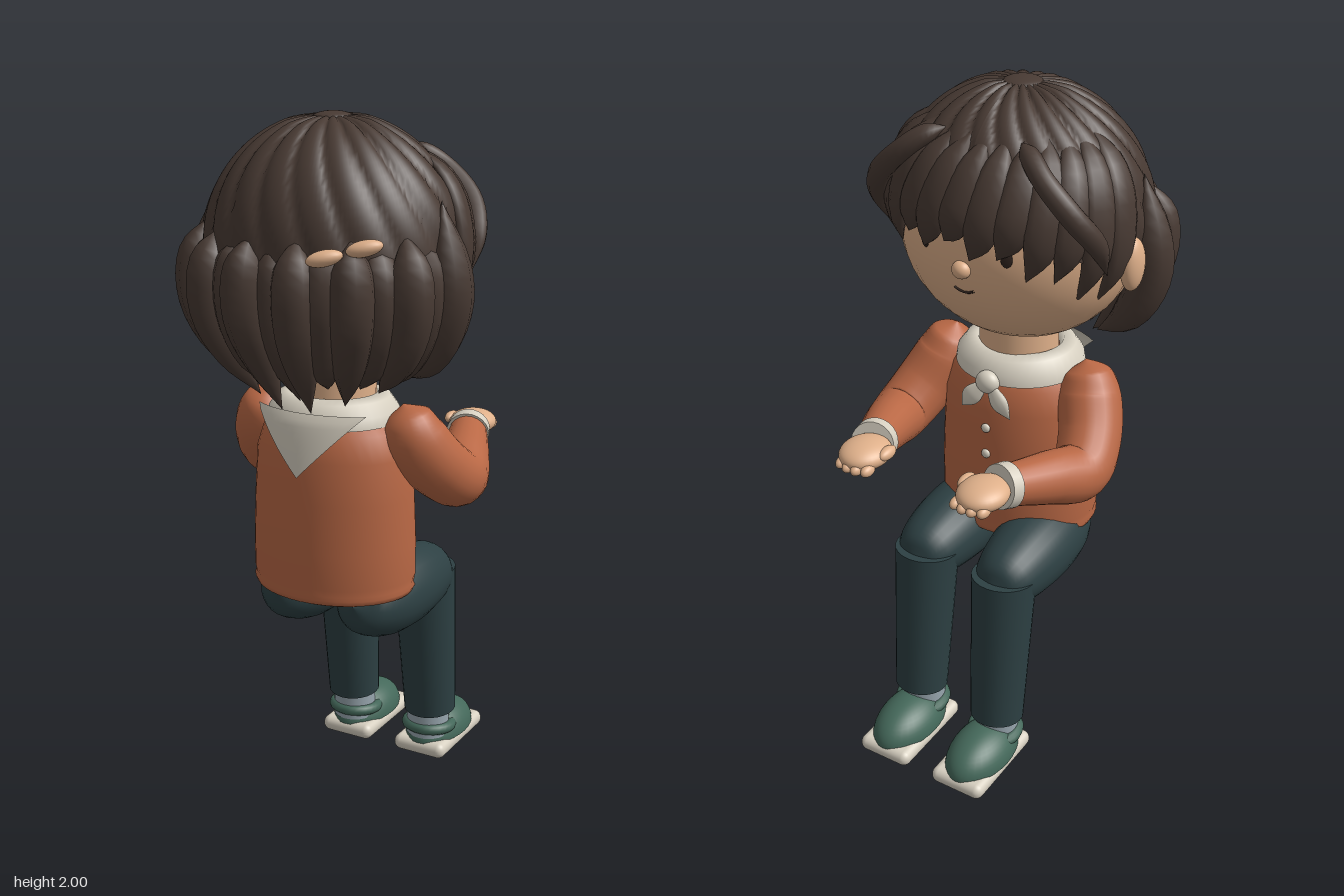
import * as THREE from 'three';
import { RoundedBoxGeometry } from 'three/addons/geometries/RoundedBoxGeometry.js';

const V = (x, y, z) => new THREE.Vector3(x, y, z);
const paint = (name, color, side = THREE.FrontSide) => {
  const m = new THREE.MeshStandardMaterial({ color, side });
  m.name = name;
  return m;
};

// Tapered tube: pts are [x, y, z, radius]; flat squeezes it along ref
function limb(pts, { flat = 1, ref = V(0, 1, 0.01), segs = 24, sides = 16 } = {}) {
  const path = new THREE.CatmullRomCurve3(pts.map(p => V(p[0], p[1], p[2])));
  const radii = new THREE.CatmullRomCurve3(pts.map((p, i) => V(p[3], i * 0.1, 0)));
  const pos = [], idx = [];
  for (let i = 0; i <= segs; i++) {
    const c = path.getPoint(i / segs), t = path.getTangent(i / segs);
    const r = Math.max(0, radii.getPoint(i / segs).x);
    const n = ref.clone().addScaledVector(t, -ref.dot(t)).normalize();
    const b = t.clone().cross(n);
    for (let j = 0; j < sides; j++) {
      const a = j / sides * Math.PI * 2;
      const p = c.clone().addScaledVector(n, r * flat * Math.cos(a)).addScaledVector(b, r * Math.sin(a));
      pos.push(p.x, p.y, p.z);
      if (i < segs) {
        const k = i * sides + j, l = i * sides + (j + 1) % sides;
        idx.push(k, l, k + sides, l, l + sides, k + sides);
      }
    }
  }
  const g = new THREE.BufferGeometry();
  g.setAttribute('position', new THREE.Float32BufferAttribute(pos, 3));
  g.setIndex(idx);
  g.computeVertexNormals();
  return g;
}

// Straight round rod between two points
function rod(a, b, ra, rb) {
  const d = b.clone().sub(a);
  const g = new THREE.CylinderGeometry(rb, ra, d.length(), 24);
  g.applyQuaternion(new THREE.Quaternion().setFromUnitVectors(V(0, 1, 0), d.clone().normalize()));
  return g.translate((a.x + b.x) / 2, (a.y + b.y) / 2, (a.z + b.z) / 2);
}

const ball = (x, y, z, rx, ry = rx, rz = rx) =>
  new THREE.SphereGeometry(1, 32, 24).scale(rx, ry, rz).translate(x, y, z);

export function createModel() {
  const root = new THREE.Group();
  root.name = 'seatedFigure';
  const skin = paint('skin', 0xdfb08a), hair = paint('hair', 0x483a33);
  const sweater = paint('sweater', 0xb96845), trousers = paint('trousers', 0x2d4043);
  const cream = paint('cream', 0xd6cfc0, THREE.DoubleSide), shoe = paint('shoe', 0x44685a);
  const sock = paint('sock', 0x98a6ae), ink = paint('ink', 0x30241f, THREE.DoubleSide);
  const add = (name, g, m) => {
    const mesh = new THREE.Mesh(g, m);
    mesh.name = name;
    root.add(mesh);
    return mesh;
  };

  // Head and face, looking along -z
  add('head', ball(0, 1.6, 0.1, 0.345, 0.32, 0.295), skin);
  add('neck', new THREE.CylinderGeometry(0.112, 0.115, 0.2, 28).translate(0, 1.26, 0.1), skin);
  add('nose', ball(0, 1.57, -0.194, 0.027, 0.025, 0.024), skin);
  const faceZ = (x, y) => 0.1 - 0.295 * Math.sqrt(1 - (x / 0.345) ** 2 - ((y - 1.6) / 0.32) ** 2);
  for (const s of [-1, 1]) {
    add('ear', ball(s * 0.362, 1.57, 0.068, 0.03, 0.075, 0.045), skin);
    const eye = add('eye', new THREE.SphereGeometry(1, 16, 12).scale(0.016, 0.023, 0.004), ink);
    eye.position.set(s * 0.125, 1.62, faceZ(0.125, 1.62));
    eye.rotation.y = -s * 0.35;
    const brow = [0.1, 0.125, 0.15].map((x, i) => [s * x, 1.675 + (i === 1 ? 0.008 : 0), faceZ(x, 1.675), 0.004]);
    add('eyebrow', limb(brow, { segs: 8, sides: 6 }), ink);
  }
  const smile = [-0.03, -0.015, 0, 0.015, 0.03].map(x => {
    const y = 1.5 + x * x * 10;
    return [x, y, faceZ(x, y), 0.0035];
  });
  add('mouth', limb(smile, { segs: 12, sides: 6 }), ink);

  // Hair cap: swirled ridges around the crown, longer at the back than over the face
  const onHair = (a, p, lift = 1) => V(0.37 * lift * Math.sin(a) * Math.sin(p),
    1.63 + 0.37 * lift * Math.cos(p), 0.11 - 0.33 * lift * Math.cos(a) * Math.sin(p));
  const cap = new THREE.PlaneGeometry(1, 1, 200, 36), cp = cap.attributes.position;
  for (let i = 0; i < cp.count; i++) {
    const a = -(cp.getX(i) + 0.5) * Math.PI * 2, v = 0.5 - cp.getY(i);
    const edge = 1.9 - 0.5 * Math.cos(a);
    const ridge = Math.sqrt(Math.abs(Math.sin(10 * (a + 0.75 * v * v))));
    const q = onHair(a, v * edge, 0.965 + 0.04 * ridge * Math.min(1, v * 6));
    cp.setXYZ(i, q.x, q.y, q.z);
  }
  cap.computeVertexNormals();
  const capMat = hair;
  capMat.side = THREE.DoubleSide;
  add('hairCap', cap, capMat);
  add('hairCrown', ball(0, 1.983, 0.11, 0.055, 0.017, 0.055), hair);

  // Fringe, sweeping down to the temples
  for (let i = -6; i <= 6; i++) {
    const a = i * 0.22, end = 1.46 + 0.56 * (i / 6) ** 2 + (i % 2 ? 0.09 : 0);
    const at = (da, p, lift, r) => [...onHair(a + da, p, lift).toArray(), r];
    add('fringeLock', limb([at(-0.12, 0.65, 0.97, 0), at(-0.06, 0.95, 1, 0.04), at(0, 1.25, 1, 0.052),
      at(0.05, (1.25 + end) / 2 + 0.05, 0.985, 0.042), at(0.14, end + 0.08, 0.95, 0)],
      { flat: 0.5, ref: V(Math.sin(a), 0, -Math.cos(a)), segs: 14, sides: 10 }), hair);
  }

  // Hanging locks round the back: an outer row with a second row in the gaps
  const hang = (name, x, z, k, top, tip) => {
    const at = (f, y, r) => [x * f * k, y, 0.11 + (z - 0.11) * f * k, r];
    add(name, limb([at(0.9, top, 0), at(0.98, 1.63, 0.054), at(0.98, 1.5, 0.06), at(0.82, 1.37, 0.045), at(0.6, tip, 0)],
      { ref: V(x, 0, z - 0.11).normalize(), segs: 16, sides: 8 }), hair);
  };
  const rear = [[0.38, 0.155, 1.79, 1.31], [0.33, 0.285, 1.72, 1.28], [0.22, 0.39, 1.71, 1.25], [0.075, 0.44, 1.71, 1.225]];
  for (const s of [-1, 1]) {
    rear.forEach(([x, z, top, tip]) => hang('backLock', s * x, z, 1, top, tip));
    for (const [x, z] of [[0.365, 0.22], [0.285, 0.345], [0.15, 0.425]])
      hang('innerLock', s * x, z, 0.9, 1.7, 1.29);
    // Loose strand arching off each temple
    add('looseStrand', limb([[s * 0.11, 1.9, -0.08, 0], [s * 0.15, 1.885, -0.11, 0.026], [s * 0.21, 1.84, -0.14, 0.03],
      [s * 0.29, 1.76, -0.135, 0.032], [s * 0.335, 1.67, -0.08, 0.028], [s * 0.34, 1.57, -0.03, 0]],
      { ref: V(s, 0, -1).normalize(), sides: 10 }), hair);
  }
  hang('innerLock', 0, 0.44, 0.9, 1.7, 1.25);

  // Hair clip of two small beads
  for (const [x, y, z] of [[0.165, 1.668, 0.437], [0.25, 1.692, 0.385]]) {
    const bead = add('hairClip', new THREE.SphereGeometry(1, 16, 12).scale(0.048, 0.021, 0.025), skin);
    bead.position.set(x, y, z);
    bead.rotation.set(0, 0.55, 0.2);
  }

  // Sweater body
  const body = [[0, 0.665], [0.21, 0.665], [0.236, 0.675], [0.243, 0.69], [0.237, 0.7], [0.242, 0.72], [0.242, 0.82],
    [0.236, 0.96], [0.228, 1.08], [0.205, 1.15], [0.165, 1.2], [0.1, 1.22], [0, 1.22]];
  add('sweaterBody', new THREE.LatheGeometry(body.map(p => new THREE.Vector2(...p)), 40)
    .scale(1, 1, 0.81).translate(0, 0, 0.11), sweater);
  for (const y of [1.03, 0.945]) add('button', ball(0, y, -0.082, 0.014, 0.014, 0.009), cream);

  // Neckerchief: collar ring, point at the back, knot and tails at the chest
  const collar = [[0.112, 1.22], [0.125, 1.245], [0.16, 1.235], [0.185, 1.2], [0.19, 1.17]];
  add('collar', new THREE.LatheGeometry(collar.map(p => new THREE.Vector2(...p)), 40)
    .scale(1, 1, 0.94).translate(0, 0, 0.11), cream);
  const drape = new THREE.PlaneGeometry(2, 1, 12, 10), dp = drape.attributes.position;
  for (let i = 0; i < dp.count; i++) {
    const v = 0.5 - dp.getY(i), x = dp.getX(i) * (1 - v) * 0.17;
    dp.setXYZ(i, x, 1.215 - 0.175 * v, 0.11 + (0.172 + 0.033 * Math.sqrt(v)) * Math.sqrt(1 - (x / 0.24) ** 2));
  }
  drape.computeVertexNormals();
  add('scarfPoint', drape, cream);
  add('scarfKnot', ball(0, 1.175, -0.07, 0.036, 0.034, 0.028), cream);

  for (const s of [-1, 1]) {
    add('scarfTail', limb([[0, 1.18, -0.07, 0], [s * 0.025, 1.15, -0.078, 0.022], [s * 0.05, 1.12, -0.083, 0.028],
      [s * 0.08, 1.08, -0.08, 0]], { flat: 0.45, ref: V(0, 0, -1), sides: 10 }), cream);

    // Sleeves bent at the elbow, cuffs, open hands
    add('sleeve', limb([[s * 0.215, 1.23, 0.105, 0], [s * 0.225, 1.195, 0.1, 0.065], [s * 0.24, 1.13, 0.085, 0.09],
      [s * 0.28, 1.04, 0.02, 0.09], [s * 0.3, 0.985, -0.07, 0.084], [s * 0.265, 1.01, -0.18, 0.074],
      [s * 0.212, 1.045, -0.32, 0.056]], { ref: V(s, 0.3, 0.1).normalize(), segs: 36, sides: 20 }), sweater);
    add('cuff', rod(V(s * 0.215, 1.043, -0.31), V(s * 0.205, 1.051, -0.343), 0.064, 0.062), cream);
    add('hand', ball(s * 0.19, 1.056, -0.395, 0.07, 0.038, 0.08), skin);
    for (let i = 0; i < 4; i++)
      add('finger', ball(s * (0.143 + i * 0.028), 1.042, -0.45 - (i % 3 ? 0.008 : 0), 0.016, 0.017, 0.026), skin);
    add('thumb', ball(s * 0.128, 1.065, -0.38, 0.018, 0.018, 0.035), skin);

    // Legs: thigh forward, shin down
    add('thigh', limb([[s * 0.125, 0.655, 0.225, 0], [s * 0.126, 0.645, 0.19, 0.075], [s * 0.13, 0.637, 0.1, 0.11],
      [s * 0.132, 0.635, 0, 0.119], [s * 0.134, 0.632, -0.1, 0.113], [s * 0.135, 0.625, -0.2, 0.093],
      [s * 0.135, 0.62, -0.25, 0.06], [s * 0.135, 0.62, -0.275, 0]], { segs: 32, sides: 24 }), trousers);
    add('shin', rod(V(s * 0.137, 0.155, -0.245), V(s * 0.133, 0.64, -0.198), 0.08, 0.095), trousers);
    add('sock', new THREE.CylinderGeometry(0.066, 0.066, 0.1, 24).translate(s * 0.133, 0.12, -0.24), sock);

    // Shoes with pale soles and a dark patch underneath
    const upper = new THREE.SphereGeometry(1, 32, 12, 0, Math.PI * 2, 0, Math.PI / 2);
    add('shoeUpper', upper.scale(0.092, 0.088, 0.148).translate(s * 0.132, 0.052, -0.322), shoe);
    const rim = add('shoeRim', new THREE.TorusGeometry(0.068, 0.018, 10, 28), shoe);
    rim.rotation.x = Math.PI / 2 - 0.1;
    rim.position.set(s * 0.133, 0.095, -0.248);
    add('sole', new RoundedBoxGeometry(0.175, 0.05, 0.305, 4, 0.024).translate(s * 0.13, 0.034, -0.323), cream);
    add('solePatch', new THREE.CylinderGeometry(1, 1, 0.009, 24).scale(0.045, 1, 0.062).translate(s * 0.13, 0.0045, -0.325), shoe);
  }
  return root;
}
